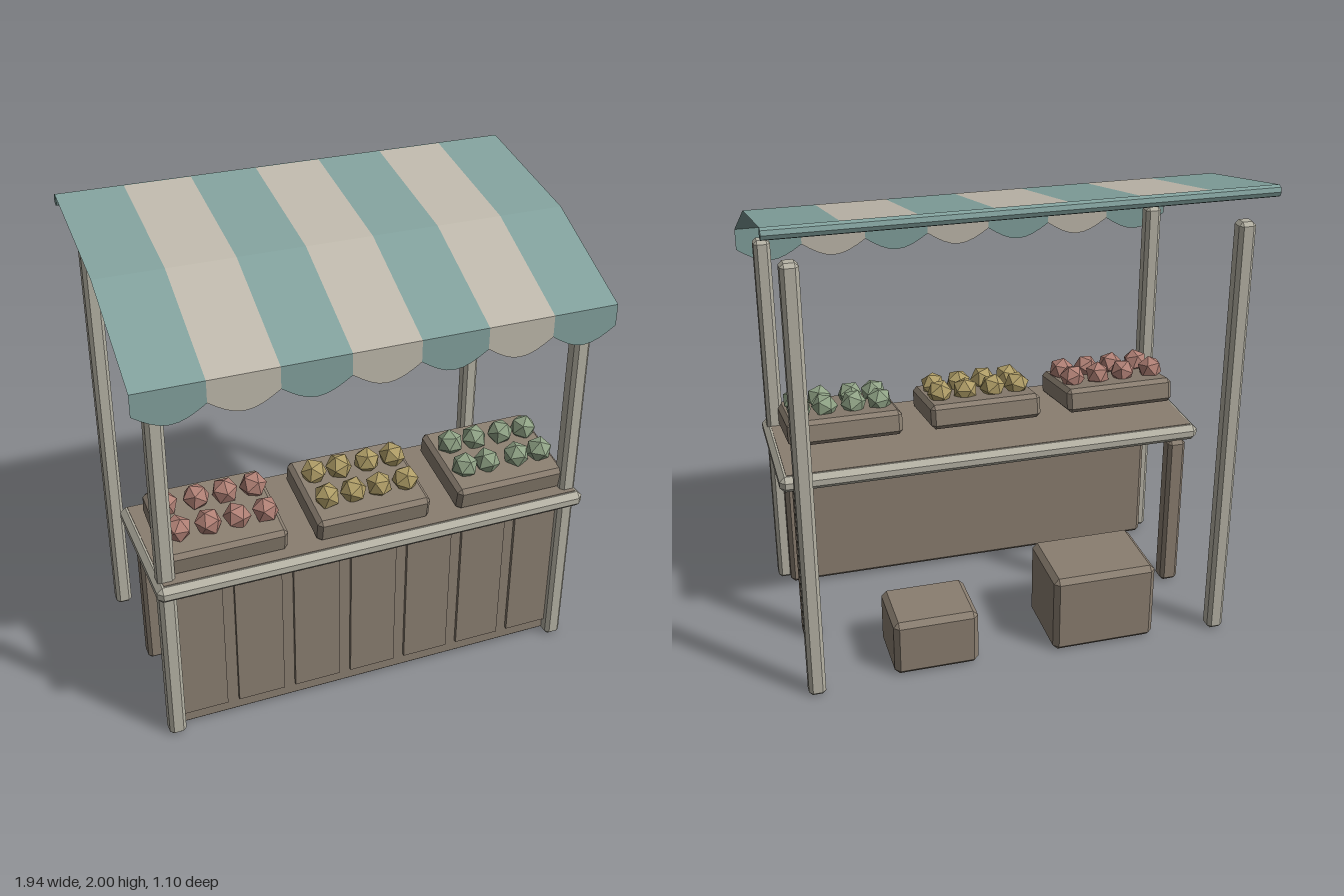
import * as THREE from 'three';
import { ConvexGeometry } from 'three/addons/geometries/ConvexGeometry.js';

const mat = (name, color, side = THREE.FrontSide) => {
  const m = new THREE.MeshStandardMaterial({ color, side });
  m.name = name;
  return m;
};

// Box with flat chamfered edges, given by its min and max on each axis
function chamferBox([x0, x1], [y0, y1], [z0, z1], c = 0.015) {
  const h = [(x1 - x0) / 2, (y1 - y0) / 2, (z1 - z0) / 2];
  const pts = [];
  for (const sx of [-1, 1]) for (const sy of [-1, 1]) for (const sz of [-1, 1])
    for (let axis = 0; axis < 3; axis++) {
      const p = h.map((v, i) => (i === axis ? v : v - c));
      pts.push(new THREE.Vector3(sx * p[0], sy * p[1], sz * p[2]));
    }
  return new ConvexGeometry(pts).translate((x0 + x1) / 2, (y0 + y1) / 2, (z0 + z1) / 2);
}

export function createModel() {
  const model = new THREE.Group();
  model.name = 'marketStall';
  const wood = mat('brown wood', 0x8a7e70);
  const pale = mat('pale wood', 0xb5b2a4);
  const teal = mat('teal cloth', 0x82a19d, THREE.DoubleSide);
  const cream = mat('cream cloth', 0xbeb8ab, THREE.DoubleSide);
  const fruitColours = [
    mat('red fruit', 0xb08075), mat('yellow fruit', 0xae9c66), mat('green fruit', 0x8fa285),
  ];

  const add = (name, geometry, material, parent = model) => {
    const mesh = new THREE.Mesh(geometry, material);
    mesh.name = name;
    parent.add(mesh);
    return mesh;
  };
  const box = (name, x, y, z, material, c, parent) =>
    add(name, chamferBox(x, y, z, c), material, parent);

  // Posts and counter legs on both sides
  for (const s of [-1, 1]) {
    const side = s > 0 ? 'left' : 'right';
    const px = [s * 0.875 - 0.035, s * 0.875 + 0.035];
    box(side + 'FrontPost', px, [0, 1.64], [0.412, 0.485], pale);
    box(side + 'BackPost', px, [0, 1.85], [-0.51, -0.44], pale);
    box(side + 'CounterLeg', [s * 0.83 - 0.04, s * 0.83 + 0.04], [0, 0.72], [-0.092, -0.012], wood);
  }

  // Counter top: pale edging with brown boards above and below
  box('counterEdge', [-0.925, 0.925], [0.715, 0.785], [-0.093, 0.533], pale, 0.022);
  for (const y of [0.716, 0.785])
    add('counterBoard', new THREE.BoxGeometry(1.79, 0.006, 0.57).translate(0, y, 0.22), wood);

  // Front panel with seven raised boards
  box('frontPanel', [-0.86, 0.86], [0, 0.715], [0.357, 0.435], wood, 0.018);
  for (let i = -3; i <= 3; i++)
    add('panelBoard', new THREE.BoxGeometry(0.2, 0.595, 0.02).translate(i * 0.25, 0.368, 0.44), wood);

  // Tilted crates, each with two rows of fruit
  let seed = 7;
  const rand = () => (seed = (seed * 16807) % 2147483647) / 2147483647;
  ['red', 'yellow', 'green'].forEach((colour, k) => {
    const crate = new THREE.Group();
    crate.name = colour + 'FruitCrate';
    crate.position.set((k - 1) * 0.615, 0.81, 0.255);
    crate.rotation.x = 0.18;
    model.add(crate);
    box('crate', [-0.245, 0.245], [0, 0.107], [-0.197, 0.197], wood, 0.018, crate);
    for (let row = 0; row < 2; row++) for (let i = 0; i < 4; i++) {
      const fruit = add('fruit', new THREE.IcosahedronGeometry(0.057, 0), fruitColours[k], crate);
      fruit.position.set((i - 1.5) * 0.118 + (rand() - 0.5) * 0.02, 0.134, row ? 0.075 : -0.075);
      fruit.rotation.set(rand() * 6, rand() * 6, rand() * 6);
    }
  });

  // Storage boxes behind the counter
  box('largeStorageBox', [-0.59, -0.14], [0, 0.35], [-0.485, -0.138], wood, 0.022);
  box('smallStorageBox', [0.185, 0.545], [0, 0.25], [-0.47, -0.18], wood, 0.022);

  // Awning: seven bent cloth stripes, each ending in a scalloped flap
  const profile = [[1.999, -0.532], [1.885, 0.06], [1.66, 0.542]];
  const width = 1.944 / 7;
  for (let i = 0; i < 7; i++) {
    const x = -0.972 + i * width;
    const cloth = i % 2 ? cream : teal;
    for (let j = 0; j < 2; j++) {
      const [[ya, za], [yb, zb]] = [profile[j], profile[j + 1]];
      const g = new THREE.BufferGeometry();
      g.setAttribute('position', new THREE.Float32BufferAttribute(
        [x, ya, za, x, yb, zb, x + width, yb, zb, x + width, ya, za], 3));
      g.setIndex([0, 1, 2, 0, 2, 3]);
      g.computeVertexNormals();
      add('awningStripe', g, cloth);
    }
    const flap = new THREE.Shape();
    flap.moveTo(x, 1.66);
    for (let n = 0; n <= 8; n++)
      flap.lineTo(x + width * n / 8, 1.57 - 0.06 * Math.sin(Math.PI * n / 8));
    flap.lineTo(x + width, 1.66);
    add('awningFlap', new THREE.ShapeGeometry(flap).translate(0, 0, 0.542), cloth);
  }

  // Rod along the rear edge of the awning
  const rod = new THREE.CylinderGeometry(0.024, 0.024, 1.944, 8).toNonIndexed();
  rod.computeVertexNormals();
  add('awningRod', rod.rotateZ(Math.PI / 2).translate(0, 1.976, -0.533), teal);

  return model;
}
